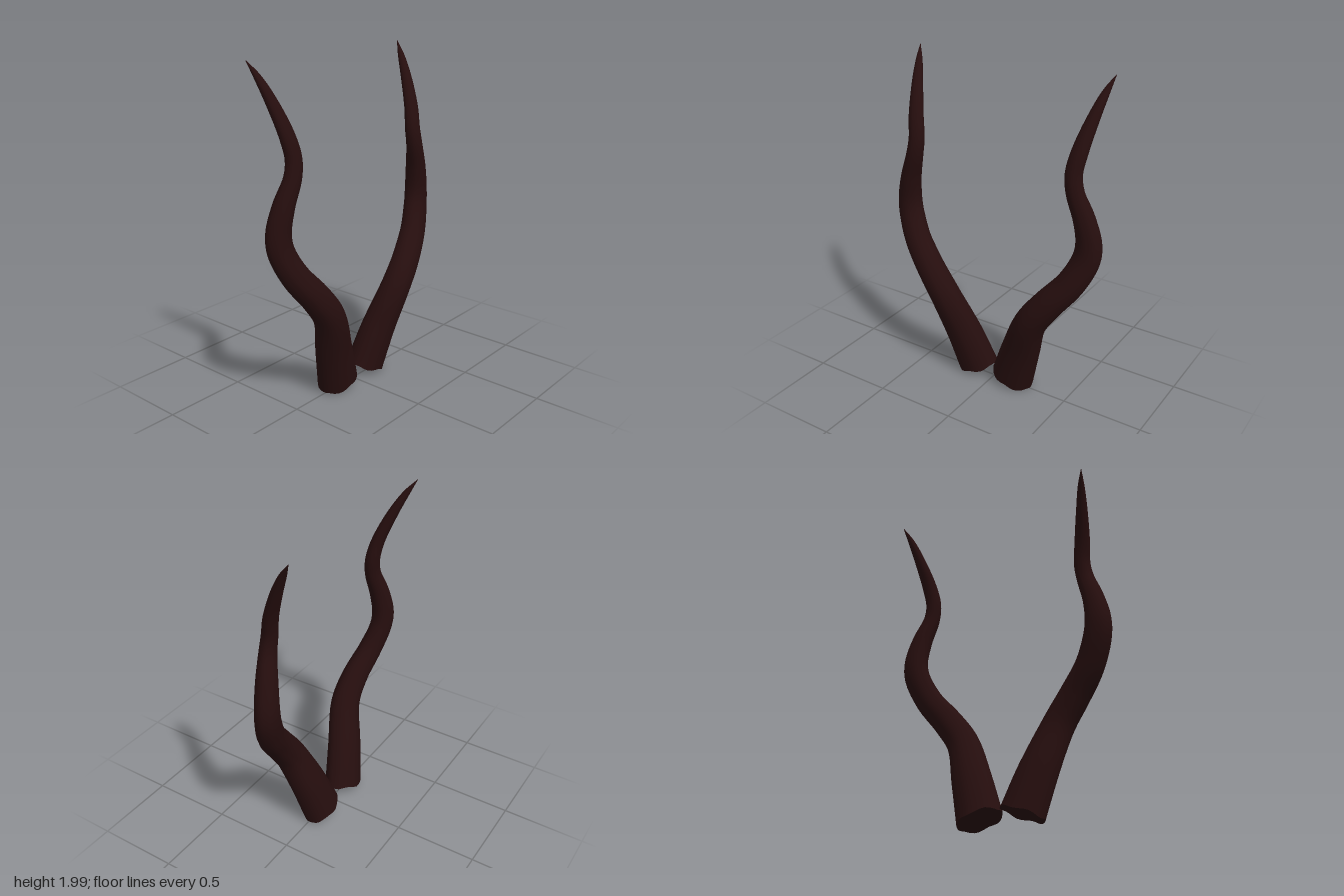
import * as THREE from 'three';

// Stations along one horn: centre x, y, z, then half width across and half depth
const STATIONS = [
  [0.130, 0.05, -0.010, 0.134, 0.106],
  [0.213, 0.30, 0.034, 0.118, 0.098],
  [0.310, 0.55, 0.088, 0.096, 0.088],
  [0.415, 0.70, 0.083, 0.090, 0.080],
  [0.533, 0.85, 0.047, 0.084, 0.072],
  [0.602, 1.00, 0.012, 0.081, 0.066],
  [0.613, 1.10, 0.005, 0.075, 0.065],
  [0.585, 1.25, 0.020, 0.062, 0.060],
  [0.535, 1.40, 0.042, 0.052, 0.047],
  [0.520, 1.50, 0.037, 0.049, 0.043],
  [0.537, 1.62, 0.012, 0.047, 0.038],
  [0.575, 1.80, -0.060, 0.034, 0.030],
  [0.605, 1.92, -0.123, 0.020, 0.018],
  [0.632, 2.00, -0.175, 0.001, 0.001],
];
const SIDES = 28;
const RINGS = 78;

function createHorn(side, material) {
  const path = new THREE.CatmullRomCurve3(
    STATIONS.map(([x, y, z]) => new THREE.Vector3(side * x, y, z)));
  const size = new THREE.CatmullRomCurve3(
    STATIONS.map(([, y, , w, d]) => new THREE.Vector3(w, y, d)));

  // Elliptical rings swept along the twisting path, with faint lengthwise ridges
  const positions = [];
  const across = new THREE.Vector3();
  const depth = new THREE.Vector3();
  for (let i = 0; i <= RINGS; i++) {
    const t = i / RINGS;
    const centre = path.getPoint(t);
    const tangent = path.getTangent(t);
    const radius = size.getPoint(t);
    across.set(1, 0, 0).addScaledVector(tangent, -tangent.x).normalize();
    depth.crossVectors(across, tangent).normalize();
    for (let j = 0; j < SIDES; j++) {
      const a = (j / SIDES) * Math.PI * 2;
      const m = side > 0 ? a : Math.PI - a;
      const ridge = 1 + 0.012 * Math.sin(7 * m + 5 * t) + 0.008 * Math.sin(11 * m - 3 * t);
      const p = centre.clone()
        .addScaledVector(across, Math.cos(a) * radius.x * ridge)
        .addScaledVector(depth, Math.sin(a) * radius.z * ridge);
      // Uneven rim at the base
      if (i === 0) p.addScaledVector(tangent, 0.006 + 0.006 * Math.sin(5 * m));
      positions.push(p.x, p.y, p.z);
    }
  }

  const index = [];
  for (let i = 0; i < RINGS; i++) {
    for (let j = 0; j < SIDES; j++) {
      const k = (j + 1) % SIDES;
      const a = i * SIDES + j, b = i * SIDES + k;
      const c = a + SIDES, d = b + SIDES;
      index.push(a, c, b, b, c, d);
    }
  }
  const shaft = new THREE.BufferGeometry();
  shaft.setAttribute('position', new THREE.Float32BufferAttribute(positions, 3));
  shaft.setIndex(index);
  shaft.computeVertexNormals();

  // Flat cut closing the base
  const rim = positions.slice(0, SIDES * 3);
  const centre = path.getPoint(0).addScaledVector(path.getTangent(0), 0.008);
  const capIndex = [];
  for (let j = 0; j < SIDES; j++) capIndex.push(SIDES, j, (j + 1) % SIDES);
  const cap = new THREE.BufferGeometry();
  cap.setAttribute('position',
    new THREE.Float32BufferAttribute([...rim, centre.x, centre.y, centre.z], 3));
  cap.setIndex(capIndex);
  cap.computeVertexNormals();

  const horn = new THREE.Group();
  horn.name = side > 0 ? 'leftHorn' : 'rightHorn';
  const shaftMesh = new THREE.Mesh(shaft, material);
  shaftMesh.name = 'hornShaft';
  const capMesh = new THREE.Mesh(cap, material);
  capMesh.name = 'hornBase';
  horn.add(shaftMesh, capMesh);
  return horn;
}

export function createModel() {
  const material = new THREE.MeshStandardMaterial({ color: 0x260e0e, side: THREE.DoubleSide });
  material.name = 'darkBrownHorn';
  const model = new THREE.Group();
  model.name = 'spiralHorns';
  for (const side of [1, -1]) model.add(createHorn(side, material));
  return model;
}
